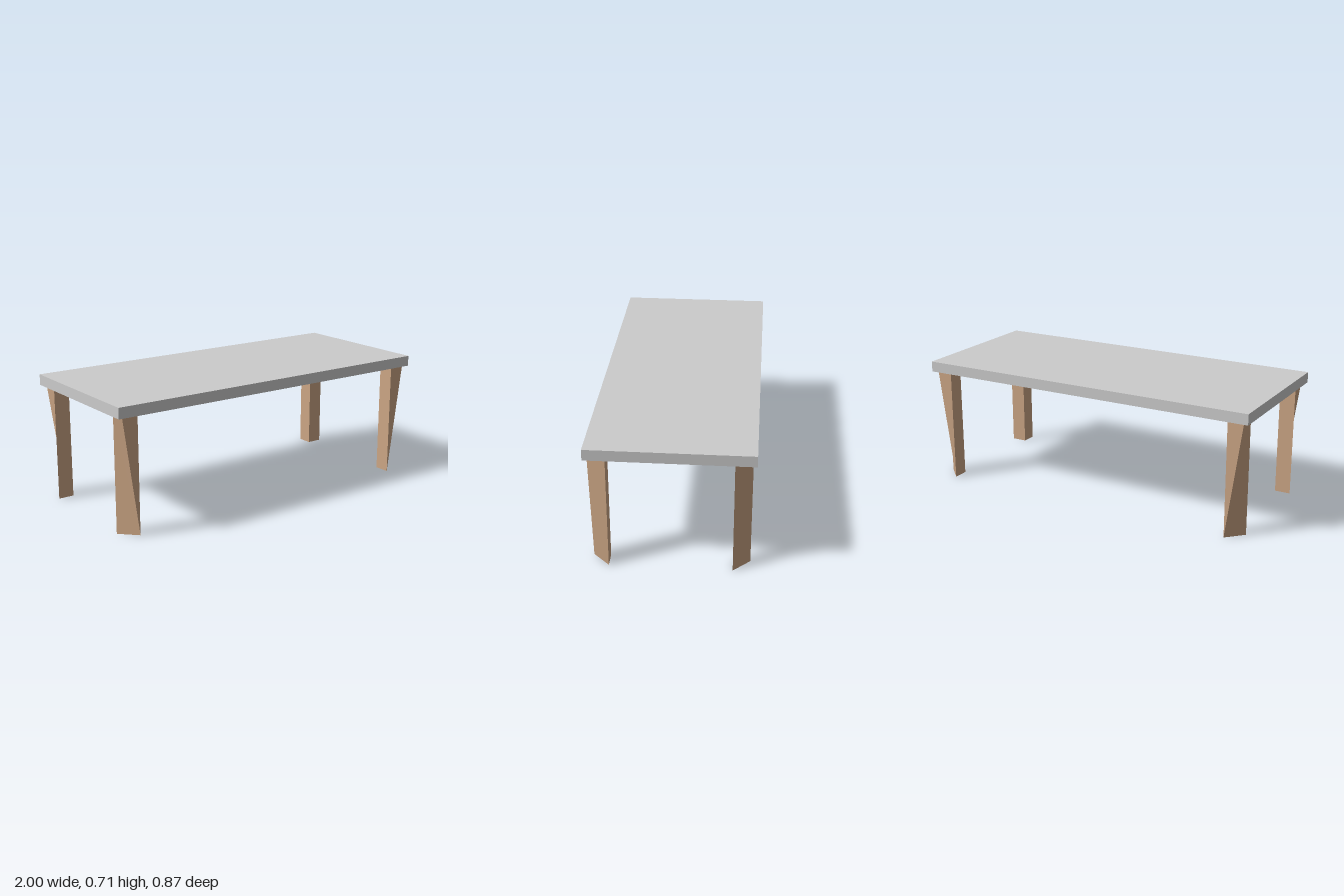
import * as THREE from 'three';

const TOP_Y = 0.65, THICKNESS = 0.06;
const INNER_X = 0.88, OUTER_X = 0.97, INNER_Z = 0.325, OUTER_Z = 0.415;

// Leg with a square top and a triangular foot: the outer corner is folded into its neighbour.
function legGeometry(sx, sz) {
  const p = (x, y, z) => new THREE.Vector3(sx * x, y, sz * z);
  const ring = y => [p(INNER_X, y, OUTER_Z), p(OUTER_X, y, OUTER_Z), p(OUTER_X, y, INNER_Z), p(INNER_X, y, INNER_Z)];
  const [a, , c, d] = ring(0);
  const [A, B, C, D] = ring(TOP_Y);
  const faces = [
    [a, B, A],       // end face
    [a, c, C, B],    // twisted outer face
    [c, d, D, C],    // inward end face
    [d, a, A, D],    // inward side face
    [a, d, c],       // foot
    [A, B, C, D],    // top
  ];
  const positions = [], normals = [];
  for (const f of faces) {
    const last = f[f.length - 1];
    // one normal per face, also across the twisted one
    const n = f[2].clone().sub(f[0]).cross(last.clone().sub(f[1])).normalize().multiplyScalar(sx * sz);
    for (let i = 1; i < f.length - 1; i++) {
      const tri = sx * sz > 0 ? [f[0], f[i], f[i + 1]] : [f[0], f[i + 1], f[i]];
      for (const v of tri) {
        positions.push(...v.toArray());
        normals.push(...n.toArray());
      }
    }
  }
  const g = new THREE.BufferGeometry();
  g.setAttribute('position', new THREE.Float32BufferAttribute(positions, 3));
  g.setAttribute('normal', new THREE.Float32BufferAttribute(normals, 3));
  return g;
}

export function createModel() {
  const model = new THREE.Group();
  model.name = 'table';
  const grey = new THREE.MeshStandardMaterial({ color: 0xcccccc });
  const wood = new THREE.MeshStandardMaterial({ color: 0xcca685 });

  const add = (name, geometry, material, x = 0, y = 0, z = 0) => {
    const mesh = new THREE.Mesh(geometry, material);
    mesh.name = name;
    mesh.position.set(x, y, z);
    model.add(mesh);
  };

  // Tabletop slab
  add('tabletop', new THREE.BoxGeometry(2, THICKNESS, 0.87), grey, 0, TOP_Y + THICKNESS / 2, 0);

  // Four legs, and four square pads almost flush with the underside
  const padGeometry = new THREE.BoxGeometry(0.09, 0.004, 0.09);
  for (const sx of [1, -1]) {
    for (const sz of [1, -1]) {
      const corner = (sz > 0 ? 'front' : 'back') + (sx > 0 ? 'Left' : 'Right');
      add(corner + 'Leg', legGeometry(sx, sz), wood);
      add(corner + 'UndersidePad', padGeometry, grey, sx * 0.5, TOP_Y + 0.001, sz * 0.22);
    }
  }
  return model;
}
